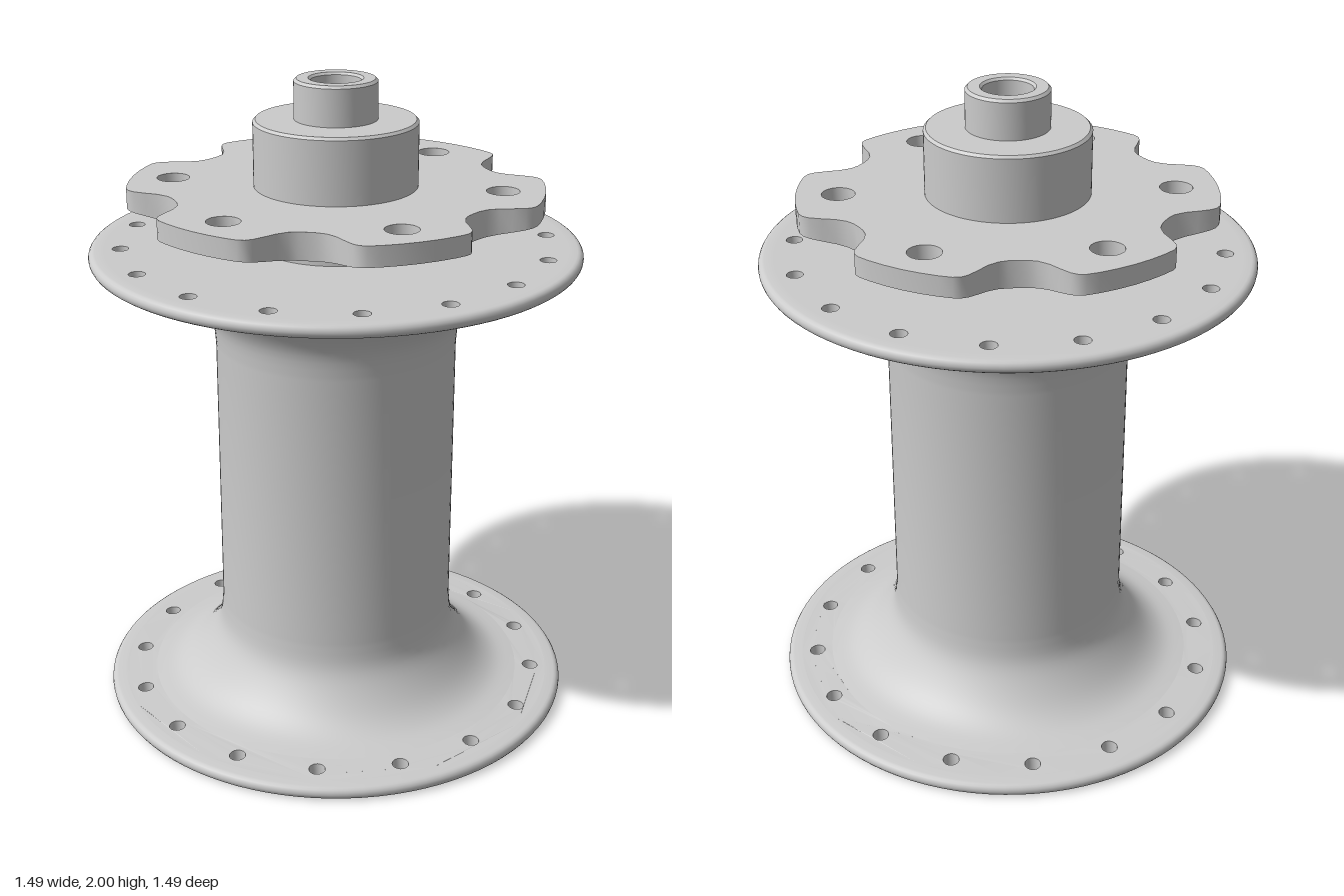
import * as THREE from 'three';
import { toCreasedNormals } from 'three/addons/utils/BufferGeometryUtils.js';

const SEG = 96;
const material = new THREE.MeshStandardMaterial({ color: 0xcccccc });
const V = (x, y) => new THREE.Vector2(x, y);

// Points evenly spread around a circle
const circle = (r, n, cx = 0, cy = 0) =>
  Array.from({ length: n }, (_, i) => {
    const a = (i / n) * Math.PI * 2;
    return V(cx + r * Math.cos(a), cy + r * Math.sin(a));
  });

// Ring of round holes
const holeRing = (count, ringR, r, offset = 0) =>
  Array.from({ length: count }, (_, i) => {
    const a = offset + (i / count) * Math.PI * 2;
    return new THREE.Path(circle(r, 20, ringR * Math.cos(a), ringR * Math.sin(a)));
  });

// Mesh with smooth curves and sharp edges (enlarged while finding shared corners)
function mesh(name, geometry) {
  geometry.scale(100, 100, 100);
  const g = toCreasedNormals(geometry, 0.6);
  g.scale(0.01, 0.01, 0.01);
  const m = new THREE.Mesh(g, material);
  m.name = name;
  return m;
}

const turned = (name, points) => mesh(name, new THREE.LatheGeometry(points, SEG));

// Flat plate whose lower and upper surfaces follow heights given by radius;
// walls at the radii in "open" are left out where a turned part joins on
function plate(name, outline, holes, bottom, top, open = []) {
  const shape = new THREE.Shape(outline);
  shape.holes.push(...holes);
  const g = new THREE.ExtrudeGeometry(shape, { depth: 1, bevelEnabled: false });
  g.rotateX(-Math.PI / 2);
  const p = g.attributes.position;
  const wallStart = g.groups[1].start;
  const kept = [];
  for (let i = 0; i < p.count; i += 3) {
    const radii = [0, 1, 2].map((k) => Math.hypot(p.getX(i + k), p.getZ(i + k)));
    if (i >= wallStart && open.some((o) => radii.every((r) => Math.abs(r - o) < 1e-4))) continue;
    radii.forEach((r, k) => {
      const y = p.getY(i + k) > 0.5 ? top(r) : bottom(r);
      kept.push(p.getX(i + k), y, p.getZ(i + k));
    });
  }
  const out = new THREE.BufferGeometry();
  out.setAttribute('position', new THREE.Float32BufferAttribute(kept, 3));
  return mesh(name, out);
}

export function createModel() {
  const hub = new THREE.Group();
  hub.name = 'wheelHub';
  const H = 1.5; // height over both flanges
  const R0 = 0.6, R1 = 0.7; // band of the flange that holds the spoke holes
  const inner = (r) => 0.047 - (r - R0) * 0.05; // inner face of a flange
  const flip = (pts) => pts.map((p) => V(p.x, H - p.y)).reverse();

  // Barrel flaring into both flanges
  const flare = new THREE.SplineCurve([
    V(R0, inner(R0)), V(0.53, 0.062), V(0.47, 0.1), V(0.415, 0.165), V(0.382, 0.23), V(0.372, 0.31),
  ]).getPoints(20);
  hub.add(turned('barrel', [...flare, ...flip(flare)]));

  // Rounded flange rims
  const rim = [V(R1, 0), V(0.728, 0)];
  for (let i = 1; i < 8; i++) {
    const a = -Math.PI / 2 + (i / 8) * Math.PI;
    rim.push(V(0.728 + 0.019 * Math.cos(a), 0.02 + 0.02 * Math.sin(a)));
  }
  rim.push(V(0.728, 0.04), V(R1, inner(R1)));
  hub.add(turned('lowerFlangeRim', rim), turned('upperFlangeRim', flip(rim)));

  // Flange bands with spoke holes, staggered by half a pitch
  const band = (name, offset, bottom, top) =>
    plate(name, circle(R1, SEG),
      [new THREE.Path(circle(R0, SEG)), ...holeRing(16, 0.65, 0.025, offset)],
      bottom, top, [R0, R1]);
  hub.add(band('lowerSpokeBand', Math.PI / 16, () => 0, inner));
  hub.add(band('upperSpokeBand', 0, (r) => H - inner(r), () => H));

  // End face, collar, axle end and the bore through the middle
  hub.add(turned('lowerEndFace', [V(0.075, 0), V(R0, 0)]));
  hub.add(turned('collarAndAxle', [
    V(R0, H), V(0.243, H), V(0.243, 1.555), V(0.247, 1.56),
    V(0.247, 1.872), V(0.239, 1.88), V(0.125, 1.88),
    V(0.125, 1.992), V(0.117, 2), V(0.082, 2), V(0.075, 1.993), V(0.075, 0),
  ]));

  // Six-lobed disc mount: radius against degrees from the middle of a notch
  const notch = [[0, 0.5], [3, 0.502], [6, 0.511], [9, 0.537], [11, 0.57], [13, 0.603], [14.5, 0.618], [16.5, 0.625], [20, 0.626], [25, 0.626]];
  const sector = [...notch, [30, 0.626], ...notch.slice(1).reverse().map(([a, r]) => [60 - a, r])];
  const outline = [];
  for (let k = 0; k < 6; k++) {
    for (const [deg, r] of sector) {
      const a = THREE.MathUtils.degToRad(deg + k * 60);
      outline.push(V(r * Math.cos(a), r * Math.sin(a)));
    }
  }
  hub.add(plate('discMount', outline,
    [new THREE.Path(circle(0.245, SEG)), ...holeRing(6, 0.5, 0.05, Math.PI / 6)],
    (r) => 1.555 + Math.max(0, r - 0.25) * 0.17, () => 1.68, [0.245]));

  return hub;
}
